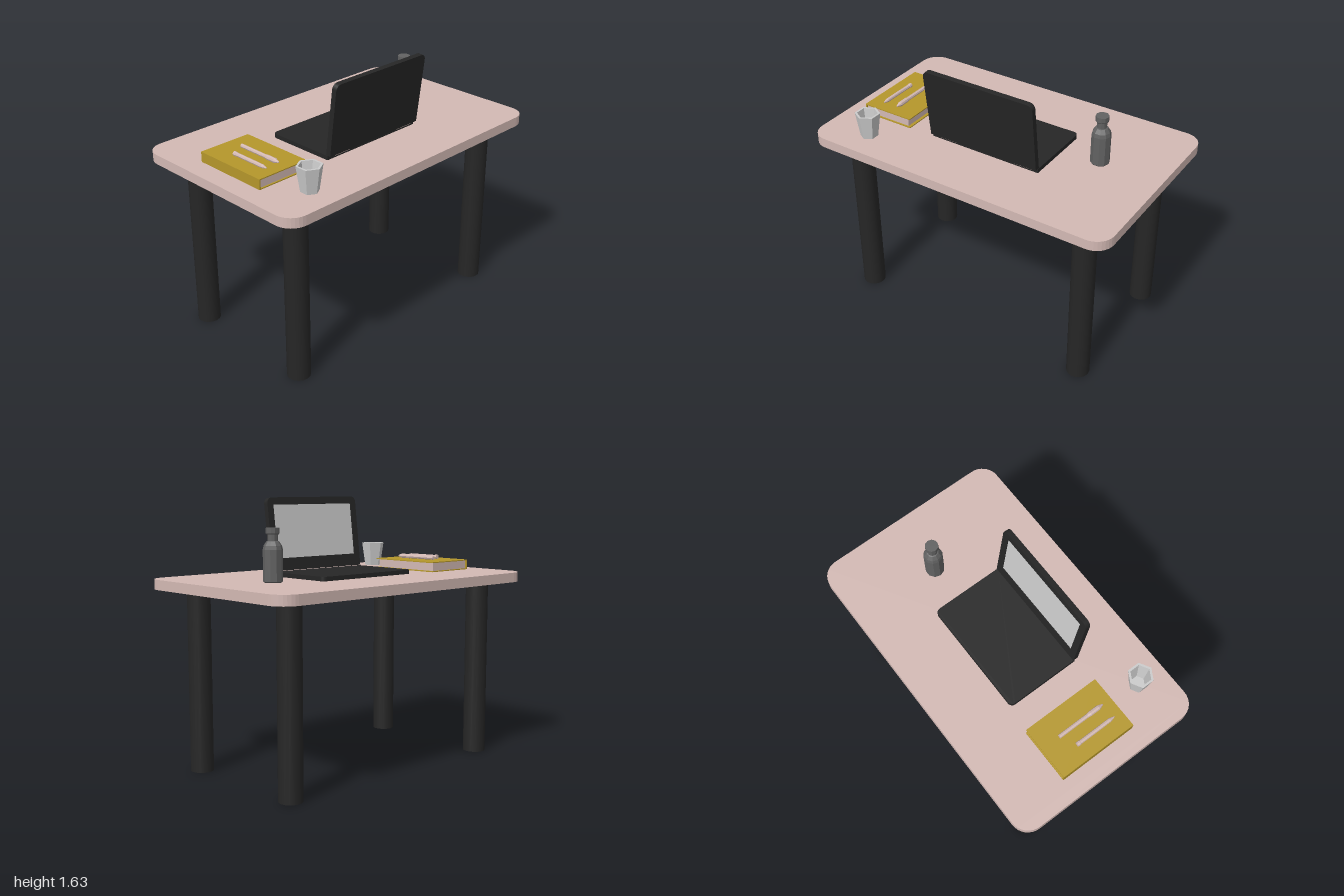
import * as THREE from 'three';

const mat = (color, flatShading = false) => new THREE.MeshStandardMaterial({ color, flatShading });
const PINK = 0xd3b9b4, BLACK = 0x262626, YELLOW = 0xb5972b, GREY = 0xcccccc, SLATE = 0x626262;
const TOP = 1.16; // height of the table surface

function add(parent, name, geometry, material, x = 0, y = 0, z = 0) {
  const mesh = new THREE.Mesh(geometry, material);
  mesh.name = name;
  mesh.position.set(x, y, z);
  parent.add(mesh);
  return mesh;
}

function addGroup(parent, name, x = 0, y = 0, z = 0) {
  const g = new THREE.Group();
  g.name = name;
  g.position.set(x, y, z);
  parent.add(g);
  return g;
}

// Flat slab from x0..x1, z0..z1 with its own radius for the low-x and high-x corners; base at y = 0
function slab(x0, x1, z0, z1, height, rLow, rHigh, segments = 4) {
  const s = new THREE.Shape();
  s.moveTo(x0 + rLow, z0);
  s.lineTo(x1 - rHigh, z0);
  if (rHigh) s.absarc(x1 - rHigh, z0 + rHigh, rHigh, -Math.PI / 2, 0);
  s.lineTo(x1, z1 - rHigh);
  if (rHigh) s.absarc(x1 - rHigh, z1 - rHigh, rHigh, 0, Math.PI / 2);
  s.lineTo(x0 + rLow, z1);
  if (rLow) s.absarc(x0 + rLow, z1 - rLow, rLow, Math.PI / 2, Math.PI);
  s.lineTo(x0, z0 + rLow);
  if (rLow) s.absarc(x0 + rLow, z0 + rLow, rLow, Math.PI, Math.PI * 1.5);
  const g = new THREE.ExtrudeGeometry(s, { depth: height, bevelEnabled: false, curveSegments: segments });
  return g.rotateX(-Math.PI / 2);
}

function lathe(points, sides) {
  return new THREE.LatheGeometry(points.map(([r, y]) => new THREE.Vector2(r, y)), sides);
}

function buildTable(root) {
  const table = addGroup(root, 'table');
  add(table, 'tableTop', slab(-0.62, 0.62, -1, 1, 0.06, 0.11, 0.11), mat(PINK), 0, TOP - 0.06, 0);
  const leg = new THREE.CylinderGeometry(0.07, 0.07, 1.1, 16);
  for (const x of [-0.413, 0.413])
    for (const z of [-0.78, 0.78]) add(table, 'tableLeg', leg, mat(BLACK), x, 0.55, z);
}

function buildLaptop(root) {
  const laptop = addGroup(root, 'laptop', 0, TOP, 0);
  add(laptop, 'laptopBase', slab(-0.225, 0.235, -0.365, 0.365, 0.026, 0.03, 0), mat(BLACK));
  for (const z of [-0.27, 0.25]) {
    add(laptop, 'hinge', new THREE.CylinderGeometry(0.007, 0.007, 0.12, 10).rotateX(Math.PI / 2),
      mat(PINK), 0.238, 0.019, z);
  }

  // Lid frame in local (z, y) with a recessed screen, leaning away from the keyboard
  const h = 0.444, w = 0.365, r = 0.035;
  const outline = new THREE.Shape();
  outline.moveTo(-w, 0);
  outline.lineTo(w, 0);
  outline.lineTo(w, h - r);
  outline.absarc(w - r, h - r, r, 0, Math.PI / 2);
  outline.lineTo(-w + r, h);
  outline.absarc(-w + r, h - r, r, Math.PI / 2, Math.PI);
  const opening = new THREE.Path();
  opening.moveTo(-0.32, 0.075);
  opening.lineTo(-0.32, 0.4);
  opening.lineTo(0.32, 0.4);
  opening.lineTo(0.32, 0.075);
  const lid = addGroup(laptop, 'laptopLid', 0.225, 0.03, 0);
  lid.rotation.z = -0.122;
  const back = new THREE.ExtrudeGeometry(outline, { depth: 0.024, bevelEnabled: false, curveSegments: 4 });
  add(lid, 'lidBack', back.rotateY(Math.PI / 2), mat(BLACK), 0.008, 0, 0);
  outline.holes.push(opening);
  const frame = new THREE.ExtrudeGeometry(outline, { depth: 0.008, bevelEnabled: false, curveSegments: 4 });
  add(lid, 'screenFrame', frame.rotateY(Math.PI / 2), mat(BLACK));
  add(lid, 'screen', new THREE.PlaneGeometry(0.64, 0.325).rotateY(-Math.PI / 2), mat(GREY), 0.005, 0.2375, 0);
}

function buildBook(root) {
  const book = addGroup(root, 'book', -0.003, TOP, 0.705);
  const cover = new THREE.BoxGeometry(0.495, 0.006, 0.34);
  add(book, 'bottomCover', cover, mat(YELLOW), 0, 0.003, 0);
  add(book, 'topCover', cover, mat(YELLOW), 0, 0.06, 0);
  add(book, 'spine', new THREE.BoxGeometry(0.495, 0.051, 0.008), mat(YELLOW), 0, 0.0315, 0.166);
  add(book, 'pages', new THREE.BoxGeometry(0.475, 0.051, 0.314), mat(PINK), 0, 0.0315, 0.005);
}

// Pens lie along x; each profile is [radius, distance from the blunt end]
function buildPens(root) {
  const pens = [
    { name: 'thickPen', x: -0.13, z: 0.68, profile: [[0, 0], [0.012, 0], [0.012, 0.2], [0.015, 0.22], [0.015, 0.28], [0.004, 0.31], [0, 0.312]] },
    { name: 'slimPen', x: -0.08, z: 0.775, profile: [[0, 0], [0.014, 0], [0.014, 0.02], [0.012, 0.022], [0.012, 0.235], [0.003, 0.268], [0, 0.27]] },
  ];
  for (const { name, x, z, profile } of pens)
    add(root, name, lathe(profile, 8).rotateZ(-Math.PI / 2), mat(PINK, true), x, TOP + 0.076, z);
}

function buildBottle(root) {
  const bottle = addGroup(root, 'bottle', -0.06, TOP, -0.6);
  add(bottle, 'bottleBody', lathe([[0, 0], [0.052, 0], [0.057, 0.006], [0.057, 0.185], [0.052, 0.208],
    [0.036, 0.232], [0.029, 0.234], [0.029, 0.275]], 10), mat(SLATE, true));
  add(bottle, 'bottleCap', lathe([[0, 0.27], [0.034, 0.27], [0.039, 0.276], [0.039, 0.307], [0, 0.307]], 10),
    mat(SLATE, true));
}

function buildCup(root) {
  // Hollow six-sided tumbler with a thick floor
  const g = lathe([[0, 0], [0.053, 0], [0.076, 0.152], [0.062, 0.152], [0.042, 0.02], [0, 0.02]], 6);
  g.rotateY(Math.PI / 6);
  add(root, 'cup', g, mat(GREY, true), 0.437, TOP, 0.692);
}

export function createModel() {
  const root = new THREE.Group();
  root.name = 'deskWithLaptop';
  buildTable(root);
  buildLaptop(root);
  buildBook(root);
  buildPens(root);
  buildBottle(root);
  buildCup(root);
  return root;
}
